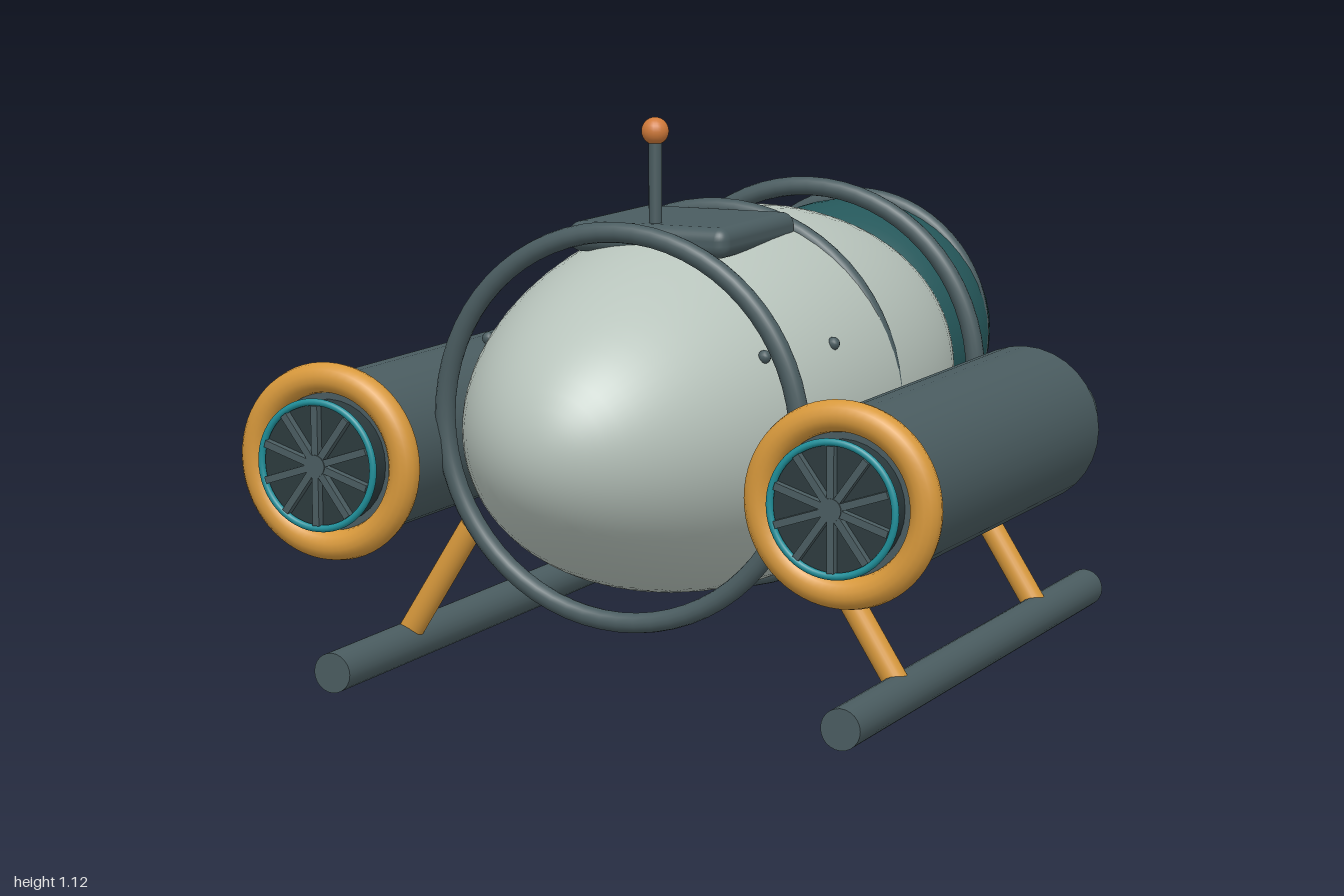
import * as THREE from 'three';
import { RoundedBoxGeometry } from 'three/addons/geometries/RoundedBoxGeometry.js';

const mat = (color) => new THREE.MeshStandardMaterial({ color });
const HULL = mat(0xb8c4bc), DARK = mat(0x4a5c60), GOLD = mat(0xd8993c), GLASS = mat(0x25575a);
const TEAL = mat(0x1f8f9a), LENS = mat(0x9cc6cc), ORANGE = mat(0xd07a3a), SHADOW = mat(0x2c3a3d);
const V = (x, y, z) => new THREE.Vector3(x, y, z);

function add(parent, name, geometry, material, x = 0, y = 0, z = 0) {
  const mesh = new THREE.Mesh(geometry, material);
  mesh.name = name;
  mesh.position.set(x, y, z);
  parent.add(mesh);
  return mesh;
}

// Cylinder between two points
function rod(parent, name, a, b, radius, material, sides = 24) {
  const dir = b.clone().sub(a);
  const mesh = add(parent, name, new THREE.CylinderGeometry(radius, radius, dir.length(), sides), material);
  mesh.position.copy(a).add(b).multiplyScalar(0.5);
  mesh.quaternion.setFromUnitVectors(V(0, 1, 0), dir.normalize());
  return mesh;
}

const ring = (parent, name, R, tube, material, x, y, z) =>
  add(parent, name, new THREE.TorusGeometry(R, tube, 14, 64), material, x, y, z);

// Propulsion pod with intake rim and fan
function pod(parent, s) {
  const g = new THREE.Group();
  g.name = 'thrusterPod';
  g.position.set(s * 0.54, 0.46, 0);
  parent.add(g);
  rod(g, 'podBody', V(0, 0, -0.125), V(0, 0, 0.825), 0.163, DARK, 32);
  ring(g, 'podRim', 0.165, 0.03, GOLD, 0, 0, 0.828);
  rod(g, 'fanHousing', V(0, 0, 0.82), V(0, 0, 0.87), 0.122, SHADOW, 32);
  ring(g, 'fanRing', 0.124, 0.007, TEAL, 0, 0, 0.877);
  rod(g, 'fanHub', V(0, 0, 0.86), V(0, 0, 0.888), 0.022, DARK);
  for (let i = 0; i < 10; i++) {
    const a = (i / 10) * Math.PI * 2 + Math.PI / 2;
    const blade = add(g, 'fanBlade', new THREE.BoxGeometry(0.105, 0.014, 0.02), DARK,
      Math.cos(a) * 0.065, Math.sin(a) * 0.065, 0.876);
    blade.rotation.z = a;
  }
}

// Everything that exists once per side
function sideParts(parent, s) {
  pod(parent, s);

  // Landing skid and struts
  rod(parent, 'skid', V(s * 0.54, 0.04, -0.52), V(s * 0.54, 0.04, 0.835), 0.04, DARK);
  for (const z of [0.54, -0.225])
    rod(parent, 'skidStrut', V(s * 0.54, 0.05, z), V(s * 0.385, 0.295, z), 0.025, GOLD);

  // Lamp
  rod(parent, 'lampBody', V(s * 0.435, 0.4, -0.505), V(s * 0.435, 0.4, -0.625), 0.093, DARK, 32);
  rod(parent, 'lampLens', V(s * 0.435, 0.4, -0.62), V(s * 0.435, 0.4, -0.637), 0.074, LENS, 32);

  // Manipulator arm and claw
  rod(parent, 'arm', V(s * 0.255, 0.268, -0.27), V(s * 0.255, 0.185, -0.82), 0.025, GOLD);
  rod(parent, 'claw', V(s * 0.25, 0.185, -0.815), V(s * 0.178, 0.198, -0.993), 0.016, DARK, 16);

  // Rivets on the hull flank
  for (const [x, z] of [[0.347, 0.42], [0.295, 0.63]])
    add(parent, 'rivet', new THREE.SphereGeometry(0.013, 12, 8), DARK, s * x, 0.69, z);
}

export function createModel() {
  const model = new THREE.Group();
  model.name = 'submersible';

  // Hull and viewing dome, poles along z
  const hull = add(model, 'hull', new THREE.SphereGeometry(1, 64, 40).rotateX(Math.PI / 2), HULL, 0, 0.535, 0.19);
  hull.scale.set(0.4, 0.38, 0.81);
  const dome = add(model, 'dome', new THREE.SphereGeometry(1, 48, 32).rotateX(Math.PI / 2), GLASS, 0, 0.58, -0.48);
  dome.scale.set(0.31, 0.285, 0.31);

  // Frame rings
  for (const z of [0.655, 0.19, -0.265]) ring(model, 'hullRing', 0.38, 0.02, DARK, 0, 0.535, z);
  ring(model, 'domeRing', 0.285, 0.02, DARK, 0, 0.58, -0.54);

  // Hatch and antenna
  add(model, 'hatch', new RoundedBoxGeometry(0.345, 0.06, 0.345, 4, 0.025), DARK, 0, 0.886, 0.367);
  rod(model, 'antenna', V(0, 0.89, 0.49), V(0, 1.09, 0.49), 0.013, DARK, 16);
  add(model, 'antennaBall', new THREE.SphereGeometry(0.027, 20, 14), ORANGE, 0, 1.095, 0.49);

  for (const s of [1, -1]) sideParts(model, s);
  return model;
}
